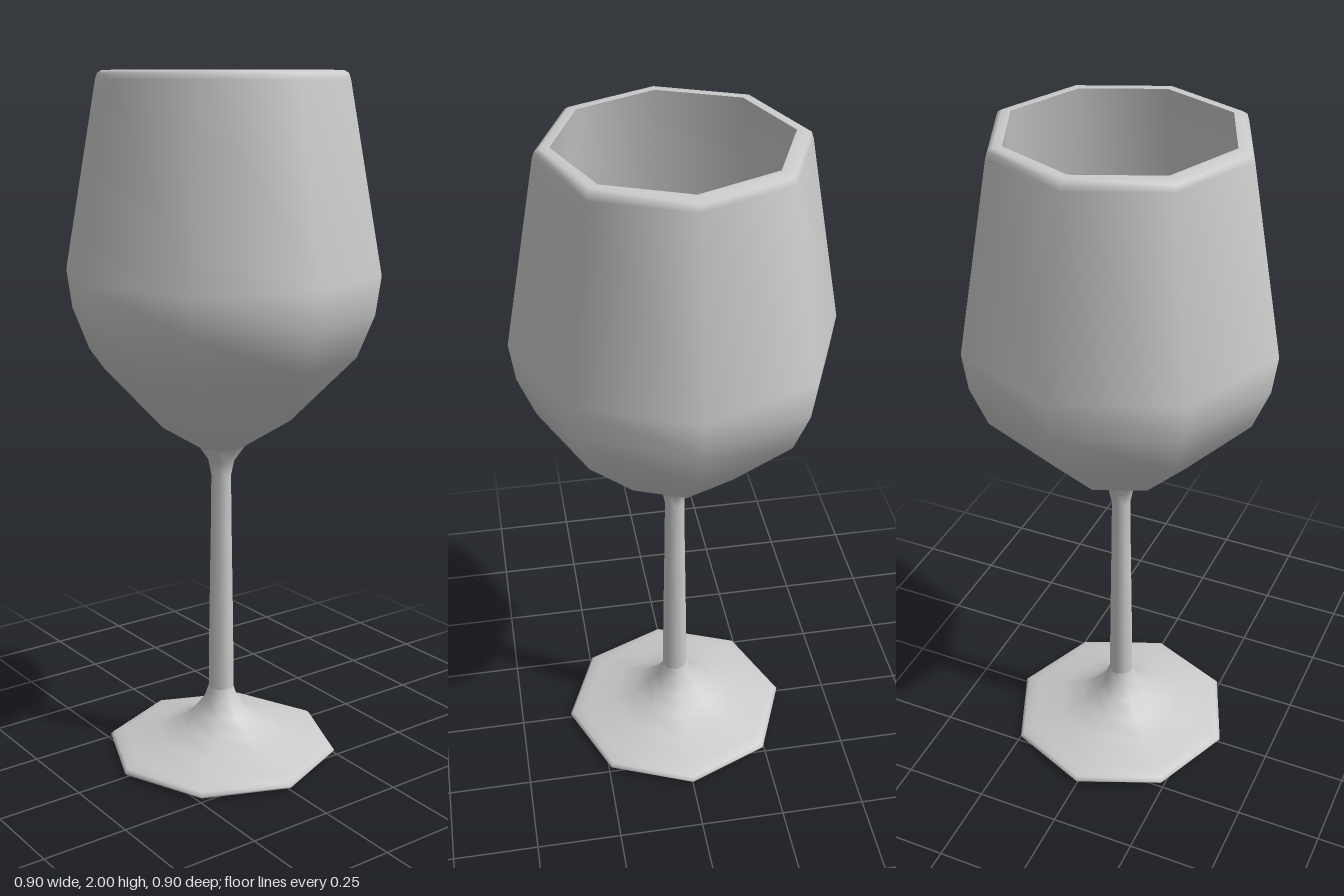
import * as THREE from 'three';

const SIDES = 8;

export function createModel() {
  const glass = new THREE.Group();
  glass.name = 'wineGlass';
  const material = new THREE.MeshStandardMaterial({ color: 0xcccccc });

  // Turned part: profile of [radius, height], running counter-clockwise round the solid
  function turned(name, profile) {
    const points = profile.map(([r, y]) => new THREE.Vector2(r, y));
    const mesh = new THREE.Mesh(new THREE.LatheGeometry(points, SIDES), material);
    mesh.name = name;
    glass.add(mesh);
  }

  // Flat underside of the foot
  turned('footUnderside', [[0, 0], [0.32, 0]]);

  // Foot edge and its flared top
  turned('foot', [
    [0.32, 0], [0.34, 0.006], [0.345, 0.013], [0.335, 0.022], [0.3, 0.033],
    [0.2, 0.057], [0.13, 0.085], [0.08, 0.125], [0.05, 0.165], [0.038, 0.2],
  ]);

  // Slim stem, flaring where it meets the bowl
  turned('stem', [
    [0.038, 0.2], [0.036, 0.4], [0.031, 0.7], [0.029, 0.86], [0.038, 0.905], [0.07, 0.95],
  ]);

  // Outer bowl up to the softly rounded rim
  turned('bowlOutside', [
    [0.07, 0.95], [0.2, 1.03], [0.385, 1.22], [0.433, 1.34], [0.448, 1.45],
    [0.352, 1.975], [0.346, 1.992], [0.333, 2], [0.308, 2],
  ]);

  // Inner wall of the bowl
  turned('bowlInside', [
    [0.308, 2], [0.41, 1.45], [0.394, 1.35], [0.35, 1.24], [0.18, 1.065], [0.07, 1.01], [0, 1],
  ]);

  return glass;
}
